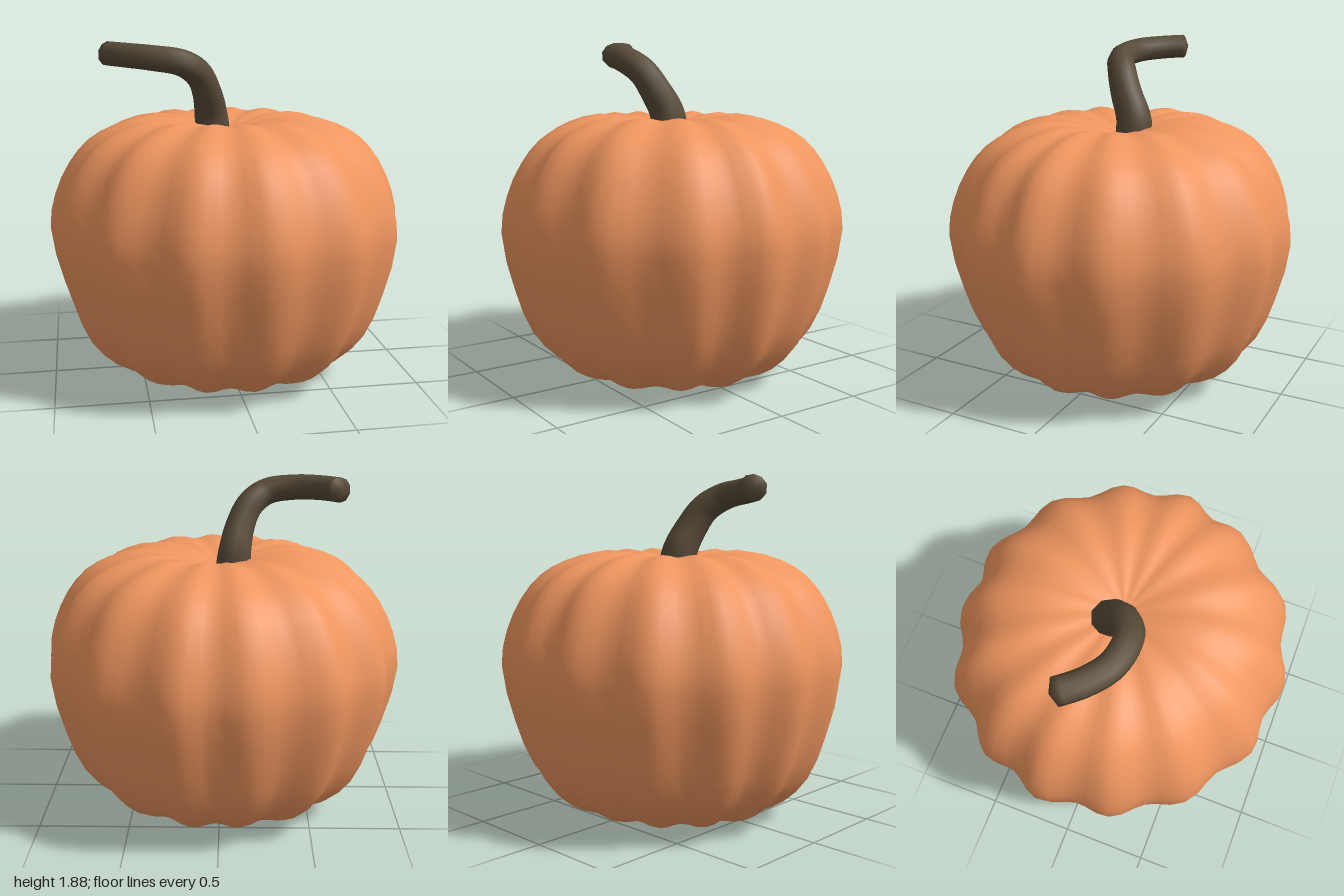
import * as THREE from 'three';
import { mergeVertices } from 'three/addons/utils/BufferGeometryUtils.js';

// Weld seams so the surface shades smoothly all round
function smooth(geometry) {
  geometry.deleteAttribute('uv');
  geometry.deleteAttribute('normal');
  const welded = mergeVertices(geometry, 1e-4);
  welded.computeVertexNormals();
  return welded;
}

// Lathe profile bent into uneven ribs: each lobe has its own crest angle and radius
function makeBody() {
  const crests = [86, 111, 139, 167, 190, 216, 240, 262, 286, 312, 340, 366, 394, 423, 446];
  const radii = [1, 0.985, 0.985, 0.985, 0.975, 1.005, 1.01, 1.01, 0.988, 0.965, 0.955, 0.955, 0.98, 0.98, 1];
  const perLobe = 6, lobes = crests.length - 1, midY = 0.73;
  const profile = new THREE.CatmullRomCurve3([
    [0, 0.07], [0.2, 0.035], [0.42, 0.005], [0.55, 0.03], [0.69, 0.1], [0.83, 0.25], [0.93, 0.5],
    [1, 0.83], [0.965, 1.03], [0.88, 1.21], [0.77, 1.34], [0.63, 1.42], [0.43, 1.47], [0.2, 1.44], [0, 1.38],
  ].map(([r, y]) => new THREE.Vector3(r, y, 0)));
  const points = profile.getPoints(28).map((p) => new THREE.Vector2(Math.max(p.x, 0), p.y));

  const geometry = new THREE.LatheGeometry(points, lobes * perLobe);
  const pos = geometry.attributes.position;
  for (let v = 0; v < pos.count; v++) {
    const column = Math.floor(v / points.length);
    const { x: r, y } = points[v % points.length];
    const lobe = Math.min(Math.floor(column / perLobe), lobes - 1);
    const t = column / perLobe - lobe;
    const angle = THREE.MathUtils.degToRad(THREE.MathUtils.lerp(crests[lobe], crests[lobe + 1], t));
    const groove = 0.055 * (1 - Math.cos(t * Math.PI * 2)) / 2;
    const radius = r * (THREE.MathUtils.lerp(radii[lobe], radii[lobe + 1], t) - groove);
    const height = midY + (y - midY) * (1 - groove * 0.4 * Math.min(r / 0.4, 1));
    pos.setXYZ(v, radius * Math.sin(angle), height, radius * Math.cos(angle));
  }
  return smooth(geometry);
}

// Curling tube, flared at the foot and closed at the tip
function makeStem() {
  const path = new THREE.CatmullRomCurve3([
    [-0.07, 1.34, -0.05], [-0.08, 1.47, -0.04], [-0.11, 1.6, 0.02], [-0.165, 1.71, 0.075],
    [-0.26, 1.775, 0.125], [-0.42, 1.802, 0.105], [-0.55, 1.812, 0.015], [-0.665, 1.817, -0.12],
  ].map((p) => new THREE.Vector3(...p)));
  const rings = 36, sides = 10;
  const geometry = new THREE.TubeGeometry(path, rings, 1, sides);
  const pos = geometry.attributes.position;
  const p = new THREE.Vector3();
  for (let v = 0; v < pos.count; v++) {
    const ring = Math.floor(v / (sides + 1));
    const t = ring / rings;
    const centre = path.getPointAt(t);
    const ridge = 1 + 0.05 * Math.cos((v % (sides + 1)) / sides * Math.PI * 4);
    let radius = (0.07 + 0.04 * Math.pow(1 - t, 2.5)) * ridge;
    if (ring === rings) radius = 0;
    p.fromBufferAttribute(pos, v).sub(centre).multiplyScalar(radius).add(centre);
    pos.setXYZ(v, p.x, p.y, p.z);
  }
  return smooth(geometry);
}

export function createModel() {
  const group = new THREE.Group();
  group.name = 'pumpkin';
  const parts = [['body', makeBody(), 0xf0965f], ['stem', makeStem(), 0x574a38]];
  for (const [name, geometry, color] of parts) {
    const mesh = new THREE.Mesh(geometry, new THREE.MeshStandardMaterial({ color }));
    mesh.name = name;
    group.add(mesh);
  }
  return group;
}
